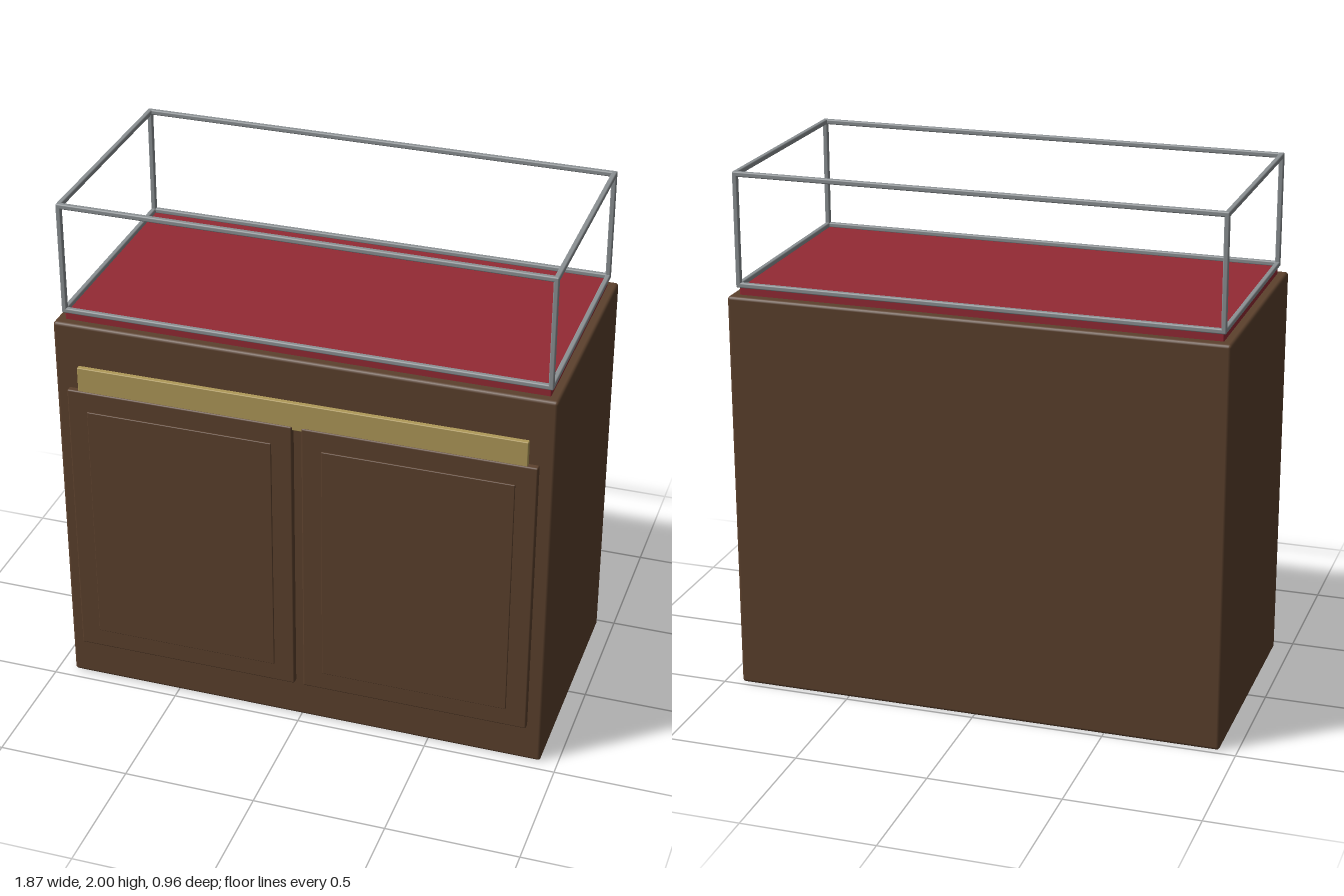
import * as THREE from 'three';
import { RoundedBoxGeometry } from 'three/addons/geometries/RoundedBoxGeometry.js';

const material = (name, color) => {
  const m = new THREE.MeshStandardMaterial({ color });
  m.name = name;
  return m;
};

export function createModel() {
  const model = new THREE.Group();
  model.name = 'displayCabinet';

  const wood = material('darkWood', 0x5c412d);
  const felt = material('redFelt', 0x942a34);
  const brass = material('brass', 0xb09a59);
  const steel = material('greySteel', 0x8c9194);

  // Softened box given by its lower and upper corners
  const block = (name, mat, min, max, radius, parent = model) => {
    const size = max.map((v, i) => v - min[i]);
    const mesh = new THREE.Mesh(new RoundedBoxGeometry(...size, 2, radius), mat);
    mesh.position.set(...max.map((v, i) => (v + min[i]) / 2));
    mesh.name = name;
    parent.add(mesh);
    return mesh;
  };

  // Cabinet body and display bed
  block('cabinetBody', wood, [-0.935, 0, -0.481], [0.935, 1.54, 0.455], 0.012);
  block('displayBed', felt, [-0.9, 1.53, -0.445], [0.9, 1.57, 0.418], 0.004);

  // Brass strip above and behind the doors
  block('brassStrip', brass, [-0.843, 1.265, 0.45], [0.841, 1.375, 0.473], 0.003);

  // Pair of doors, each with a slightly raised panel
  for (const [side, x0, x1] of [['right', -0.885, -0.02], ['left', 0.015, 0.88]]) {
    const door = new THREE.Group();
    door.name = side + 'Door';
    block('doorSlab', wood, [x0, 0.155, 0.45], [x1, 1.28, 0.478], 0.006, door);
    block('doorPanel', wood, [x0 + 0.076, 0.23, 0.47], [x1 - 0.078, 1.2, 0.483], 0.003, door);
    model.add(door);
  }

  // Open case frame: bars along the edges of a box
  const frame = new THREE.Group();
  frame.name = 'caseFrame';
  const t = 0.019, X = 0.909, y0 = 1.568, y1 = 2, z0 = -0.456, z1 = 0.428;
  for (const y of [y0, y1 - t]) {
    for (const z of [z0, z1 - t])
      block('lengthBar', steel, [-X, y, z], [X, y + t, z + t], 0.005, frame);
    for (const x of [-X, X - t])
      block('depthBar', steel, [x, y, z0], [x + t, y + t, z1], 0.005, frame);
  }
  for (const x of [-X, X - t])
    for (const z of [z0, z1 - t])
      block('cornerPost', steel, [x, y0, z], [x + t, y1, z + t], 0.005, frame);
  model.add(frame);

  return model;
}
